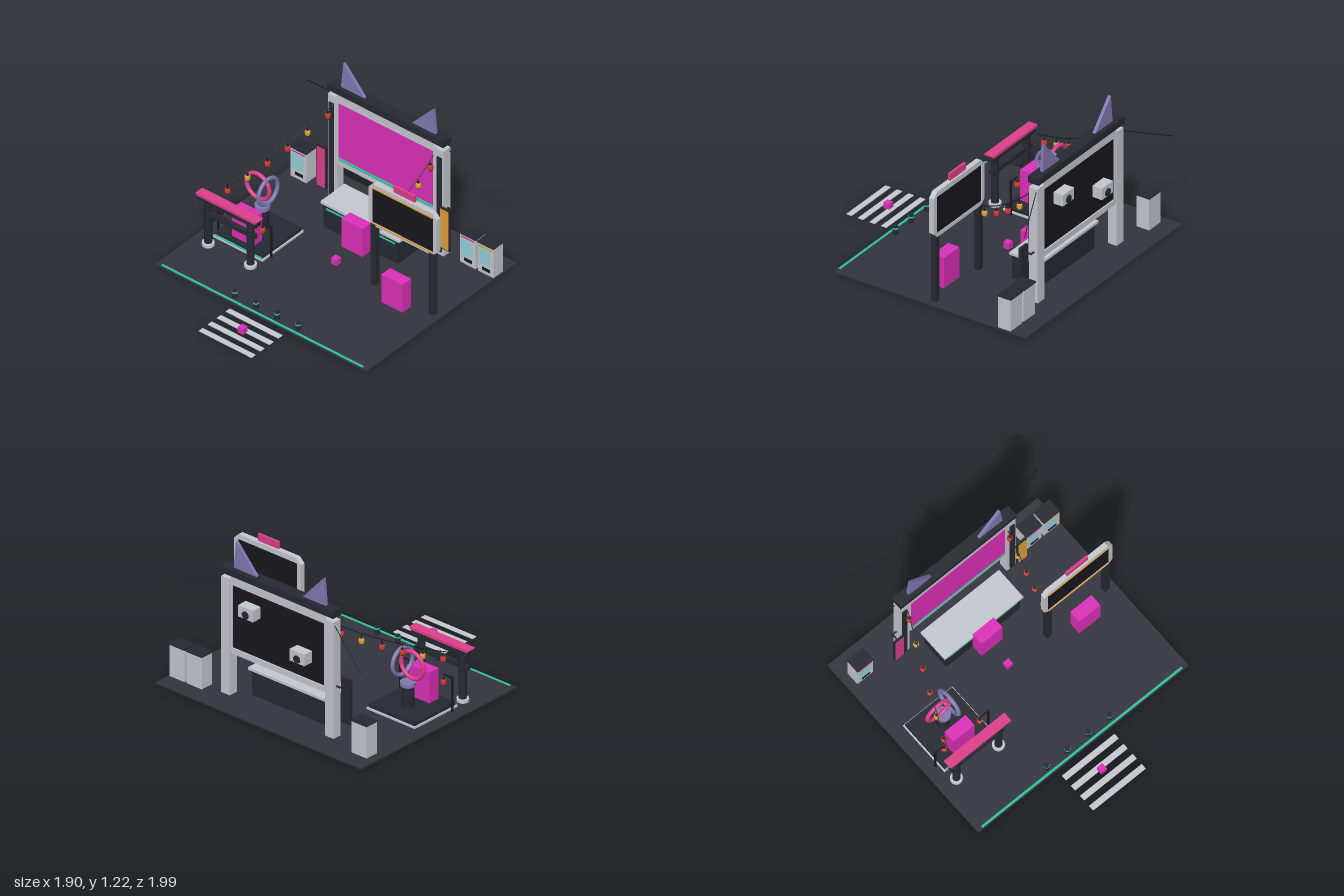
import * as THREE from 'three';

const paint = (color) => new THREE.MeshStandardMaterial({ color });
const M = {
  ground: paint(0x33343f), dark: paint(0x262931), black: paint(0x17171d), light: paint(0xc5c8d0),
  magenta: paint(0xdd2fb8), pink: paint(0xdd3f8c), purple: paint(0x8179b3), teal: paint(0x2ec4a0),
  orange: paint(0xe0a038), red: paint(0xcc3b30), cyan: paint(0x93d2de),
};

function add(parent, name, geometry, material) {
  const mesh = new THREE.Mesh(geometry, material);
  mesh.name = name;
  parent.add(mesh);
  return mesh;
}

// Box given by its limits on each axis
function box(parent, name, material, x0, x1, y0, y1, z0, z1) {
  const mesh = add(parent, name, new THREE.BoxGeometry(x1 - x0, y1 - y0, z1 - z0), material);
  mesh.position.set((x0 + x1) / 2, (y0 + y1) / 2, (z0 + z1) / 2);
  return mesh;
}

// Upright cylinder standing on y0
function post(parent, name, material, r, x, z, y0, y1, sides = 16) {
  const mesh = add(parent, name, new THREE.CylinderGeometry(r, r, y1 - y0, sides), material);
  mesh.position.set(x, (y0 + y1) / 2, z);
  return mesh;
}

function extrude(parent, name, material, shape, z0, z1) {
  const geometry = new THREE.ExtrudeGeometry(shape, { depth: z1 - z0, bevelEnabled: false });
  return add(parent, name, geometry.translate(0, 0, z0), material);
}

const polygon = (pts) => new THREE.Shape(pts.map(([x, y]) => new THREE.Vector2(x, y)));

// Panel frame with clipped corners and a rectangular opening
function frame(parent, name, [x0, x1, y0, y1], c, [a0, a1, b0, b1], z0, z1) {
  const shape = polygon([[x0 + c, y0], [x1 - c, y0], [x1, y0 + c], [x1, y1 - c],
    [x1 - c, y1], [x0 + c, y1], [x0, y1 - c], [x0, y0 + c]]);
  shape.holes.push(polygon([[a0, b0], [a0, b1], [a1, b1], [a1, b0]]));
  return extrude(parent, name, M.light, shape, z0, z1);
}

function cable(parent, name, points) {
  const curve = new THREE.QuadraticBezierCurve3(...points.map((p) => new THREE.Vector3(...p)));
  add(parent, name, new THREE.TubeGeometry(curve, 24, 0.003, 6), M.black);
  return curve;
}

function lantern(parent, material, x, y, z) {
  const g = new THREE.Group();
  g.name = 'lantern';
  const profile = [[0, -0.022], [0.015, -0.022], [0.021, -0.011], [0.021, 0.011], [0.015, 0.022], [0, 0.022]];
  add(g, 'lanternShade', new THREE.LatheGeometry(profile.map((p) => new THREE.Vector2(...p)), 12), material);
  post(g, 'lanternCap', M.dark, 0.012, 0, 0, 0.021, 0.028, 10);
  post(g, 'lanternFoot', M.dark, 0.012, 0, 0, -0.028, -0.021, 10);
  post(g, 'lanternHook', M.black, 0.002, 0, 0, 0.028, 0.06, 5);
  g.position.set(x, y, z);
  parent.add(g);
}

function lightString(parent, points, count, t0, t1) {
  const curve = cable(parent, 'lightString', points);
  for (let i = 0; i < count; i++) {
    const p = curve.getPoint(t0 + (t1 - t0) * i / (count - 1));
    lantern(parent, i % 3 === 1 ? M.orange : M.red, p.x, p.y - 0.058, p.z);
  }
}

function vendingMachine(parent, x, stripe) {
  const g = new THREE.Group();
  g.name = 'vendingMachine';
  box(g, 'cabinet', M.light, -0.07, 0.07, 0.015, 0.262, -0.865, -0.76);
  box(g, 'cabinetTop', M.dark, -0.073, 0.073, 0.262, 0.273, -0.87, -0.755);
  box(g, 'window', M.cyan, -0.058, 0.035, 0.095, 0.23, -0.762, -0.756);
  box(g, 'stripe', stripe, -0.058, 0.058, 0.237, 0.248, -0.762, -0.755);
  box(g, 'slot', M.black, -0.03, 0.04, 0.045, 0.07, -0.762, -0.756);
  g.position.x = x;
  parent.add(g);
}

export function createModel() {
  const root = new THREE.Group();
  root.name = 'plaza';
  const part = (name) => {
    const g = new THREE.Group();
    g.name = name;
    root.add(g);
    return g;
  };

  // Ground, crossing and bollards
  const ground = part('ground');
  box(ground, 'groundSlab', M.ground, -0.95, 0.95, 0.003, 0.015, -1, 0.61);
  box(ground, 'edgeLight', M.teal, -0.905, 0.905, 0.013, 0.02, 0.585, 0.602);
  for (let i = 0; i < 4; i++) {
    const z = 0.66 + i * 0.0965;
    box(ground, 'crossingStripe', M.light, -0.238, 0.238, 0, 0.004, z, z + 0.045);
    const x = -0.285 + i * 0.19;
    post(ground, 'bollard', M.dark, 0.02, x, 0.55, 0.015, 0.075);
    post(ground, 'bollardLight', M.teal, 0.0215, x, 0.55, 0.056, 0.068);
  }

  // Magenta blocks
  const blocks = part('blocks');
  box(blocks, 'smallBlock', M.magenta, -0.024, 0.024, 0, 0.048, 0.782, 0.83);
  box(blocks, 'smallBlock', M.magenta, -0.024, 0.024, 0.015, 0.063, -0.22, -0.172);
  box(blocks, 'counterBlock', M.magenta, -0.095, 0.095, 0.015, 0.255, -0.46, -0.365);
  box(blocks, 'signBlock', M.magenta, 0.525, 0.715, 0.015, 0.255, -0.15, -0.055);
  box(blocks, 'shrineBlock', M.magenta, -0.715, -0.525, 0.055, 0.295, -0.028, 0.067);

  // Counter
  const counter = part('counter');
  box(counter, 'counterBody', M.dark, -0.333, 0.333, 0.015, 0.21, -0.69, -0.46);
  box(counter, 'counterTop', M.light, -0.355, 0.355, 0.21, 0.23, -0.71, -0.45);
  box(counter, 'counterLight', M.teal, -0.31, 0.31, 0.174, 0.188, -0.462, -0.455);

  // Main screen
  const screen = part('mainScreen');
  frame(screen, 'screenFrame', [-0.46, 0.46, 0.345, 0.957], 0.04, [-0.425, 0.425, 0.39, 0.88], -0.795, -0.73);
  box(screen, 'screenBack', M.black, -0.43, 0.43, 0.385, 0.885, -0.785, -0.75);
  box(screen, 'screenFace', M.magenta, -0.423, 0.423, 0.415, 0.88, -0.755, -0.727);
  box(screen, 'screenLight', M.teal, -0.42, 0.42, 0.392, 0.406, -0.755, -0.724);
  box(screen, 'topBeam', M.dark, -0.523, 0.523, 0.957, 1.01, -0.813, -0.722);
  for (const s of [-1, 1]) {
    const mid = s * 0.48;
    box(screen, 'screenPost', M.light, mid - 0.04, mid + 0.04, 0.015, 0.922, -0.802, -0.728);
    box(screen, 'postBar', M.dark, s * 0.485 - 0.02, s * 0.485 + 0.02, 0.05, 0.86, -0.735, -0.716);
    // Ears on the beam
    const pts = [[-0.425, 1.01], [-0.215, 1.01], [-0.405, 1.22]].map(([x, y]) => [-s * x, y]);
    extrude(screen, 'ear', M.purple, polygon(pts), -0.778, -0.754);
    // Rear fan boxes
    const y = s > 0 ? 0.75 : 0.575, x = s * 0.2375;
    box(screen, 'fanBox', M.light, x - 0.068, x + 0.068, y - 0.045, y + 0.045, -0.865, -0.78);
    const fan = add(screen, 'fan', new THREE.CylinderGeometry(0.03, 0.03, 0.012, 16), M.dark);
    fan.rotation.x = Math.PI / 2;
    fan.position.set(x, y - 0.013, -0.866);
    // Hanging side banners
    const b = s * 0.555;
    box(screen, 'bannerFrame', M.dark, b - 0.043, b + 0.043, 0.11, 0.46, -0.715, -0.696);
    box(screen, 'bannerFace', s > 0 ? M.orange : M.pink, b - 0.036, b + 0.036, 0.12, 0.45, -0.7, -0.692);
    box(screen, 'bannerArm', M.dark, b - 0.005, b + 0.005, 0.41, 0.42, -0.775, -0.71);
    box(screen, 'bannerBracket', M.dark, Math.min(b, s * 0.515), Math.max(b, s * 0.515), 0.41, 0.42, -0.775, -0.765);
    const endY = s > 0 ? 0.77 : 0.72;
    cable(screen, 'guyCable', [[s * 0.5, 0.9, -0.78], [s * 0.71, (endY + 0.9) / 2, -0.87], [s * 0.905, endY, -0.955]]);
  }

  // Side billboard
  const sign = part('billboard');
  frame(sign, 'billboardFrame', [0.312, 0.925, 0.525, 0.885], 0.04, [0.345, 0.89, 0.555, 0.845], -0.213, -0.173);
  box(sign, 'billboardScreen', M.black, 0.34, 0.895, 0.55, 0.85, -0.208, -0.176);
  for (const y of [0.549, 0.851]) box(sign, 'billboardLight', M.orange, 0.345, 0.89, y - 0.005, y + 0.005, -0.176, -0.167);
  for (const x of [0.353, 0.878]) box(sign, 'billboardPost', M.dark, x - 0.023, x + 0.023, 0.015, 0.54, -0.212, -0.17);
  box(sign, 'billboardTopper', M.pink, 0.525, 0.715, 0.89, 0.945, -0.204, -0.186);

  // Vending machines
  vendingMachine(root, -0.812, M.pink);
  vendingMachine(root, 0.712, M.pink);
  vendingMachine(root, 0.872, M.orange);

  // Shrine platform with crossed rings
  const shrine = part('shrine');
  box(shrine, 'platformBase', M.light, -0.842, -0.397, 0.015, 0.03, -0.322, 0.122);
  box(shrine, 'platformTop', M.dark, -0.832, -0.407, 0.03, 0.055, -0.312, 0.112);
  box(shrine, 'platformLight', M.teal, -0.832, -0.407, 0.032, 0.042, 0.11, 0.12);
  post(shrine, 'pedestal', M.dark, 0.045, -0.625, -0.15, 0.055, 0.215);
  post(shrine, 'pedestalCap', M.purple, 0.056, -0.625, -0.15, 0.215, 0.245);
  const ring = () => new THREE.TorusGeometry(0.103, 0.015, 12, 40);
  add(shrine, 'pinkRing', ring(), M.pink).position.set(-0.665, 0.385, -0.15);
  const sideRing = add(shrine, 'purpleRing', ring(), M.purple);
  sideRing.rotation.y = Math.PI / 2;
  sideRing.position.set(-0.572, 0.385, -0.147);

  // Lantern posts beside the platform
  for (const s of [-1, 1]) {
    const x = -0.62 + s * 0.24, inner = -0.62 + s * 0.16;
    post(shrine, 'lanternPost', M.black, 0.009, x, 0.045, 0.015, 0.285, 10);
    box(shrine, 'lanternArm', M.black, Math.min(x, inner), Math.max(x, inner), 0.272, 0.28, 0.041, 0.049);
    lantern(shrine, M.red, inner, 0.218, 0.045);
  }

  // Gate
  const gate = part('gate');
  for (const x of [-0.81, -0.43]) {
    post(gate, 'gateFoot', M.light, 0.045, x, 0.21, 0.015, 0.04, 20);
    post(gate, 'gatePillar', M.dark, 0.028, x, 0.21, 0.04, 0.395, 16);
  }
  box(gate, 'gateTieBeam', M.dark, -0.865, -0.38, 0.275, 0.308, 0.192, 0.228);
  box(gate, 'gateLintel', M.dark, -0.88, -0.36, 0.388, 0.425, 0.178, 0.242);
  extrude(gate, 'gateCap', M.pink, polygon([[-0.88, 0.425], [-0.36, 0.425], [-0.345, 0.446], [-0.895, 0.446]]), 0.173, 0.247);

  // Lantern strings
  const strings = part('lightStrings');
  lightString(strings, [[-0.465, 0.86, -0.718], [-0.64, 0.575, -0.3], [-0.81, 0.43, 0.115]], 6, 0.045, 0.91);
  lightString(strings, [[0.44, 0.86, -0.718], [0.4, 0.595, -0.47], [0.36, 0.53, -0.215]], 5, 0.06, 0.93);

  return root;
}
